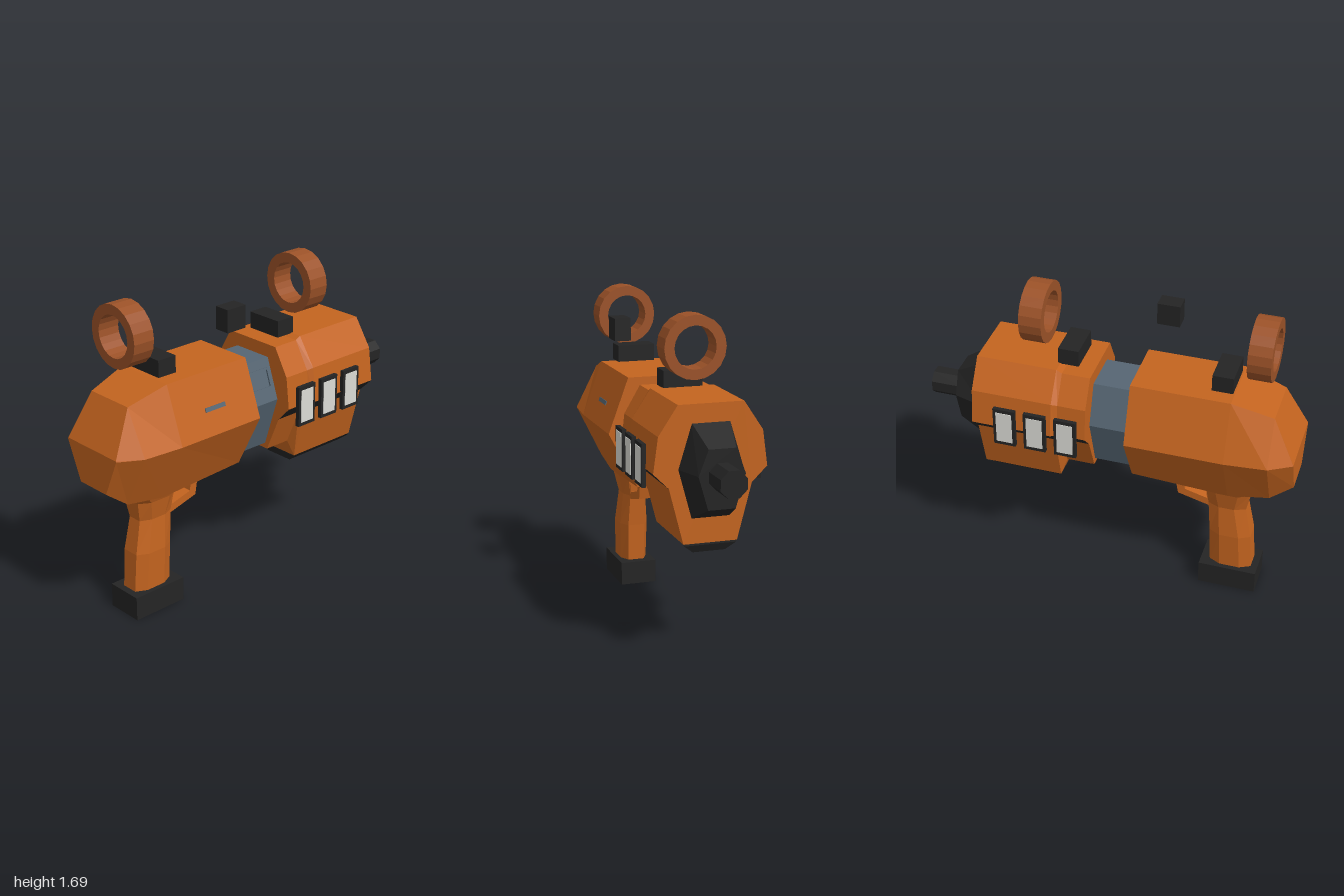
import * as THREE from 'three';

const material = (name, color) => Object.assign(new THREE.MeshStandardMaterial({ color }), { name });

// Mirrored half profiles (top to bottom) joined from high z to low z, with closed ends.
function loft(sections, pick = () => 0) {
  const rings = sections.map(([z, half]) => [
    ...half.map(([x, y]) => [-x, y, z]),
    ...[...half].reverse().map(([x, y]) => [x, y, z]),
  ]);
  const n = rings[0].length;
  const lists = [[], []];
  const tri = (k, ...pts) => lists[k].push(...pts.flat());
  for (let s = 0; s < rings.length - 1; s++) {
    const a = rings[s], b = rings[s + 1];
    for (let i = 0; i < n; i++) {
      const j = (i + 1) % n, k = pick(Math.min(i, n - 2 - i));
      tri(k, b[i], b[j], a[j]);
      tri(k, b[i], a[j], a[i]);
    }
  }
  const first = rings[0], last = rings[rings.length - 1];
  for (let i = 1; i < n - 1; i++) {
    tri(0, first[0], first[i], first[i + 1]);
    tri(0, last[0], last[i + 1], last[i]);
  }
  const geo = new THREE.BufferGeometry();
  geo.setAttribute('position', new THREE.Float32BufferAttribute(lists.flat(), 3));
  geo.addGroup(0, lists[0].length / 3, 0);
  if (lists[1].length) geo.addGroup(lists[0].length / 3, lists[1].length / 3, 1);
  geo.computeVertexNormals();
  return geo;
}

function flat(geo) {
  const g = geo.index ? geo.toNonIndexed() : geo;
  g.computeVertexNormals();
  return g;
}

export function createModel() {
  const orange = material('orange shell', 0xc4641f);
  const brown = material('brown ring', 0x9c5228);
  const black = material('black trim', 0x242424);
  const steel = material('blue grey steel', 0x566673);
  const white = material('pale panel', 0xdcdcd6);

  const model = new THREE.Group();
  model.name = 'toyBlaster';
  const add = (name, geo, mat, x = 0, y = 0, z = 0) => {
    const mesh = new THREE.Mesh(geo, mat);
    mesh.name = name;
    mesh.position.set(x, y, z);
    model.add(mesh);
    return mesh;
  };
  const box = (name, mat, size, pos) => add(name, new THREE.BoxGeometry(...size), mat, ...pos);

  // Faceted rear body
  add('rearBody', loft([
    [1.0, [[0.188, 0.99], [0.19, 0.985], [0.1, 0.78]]],
    [0.88, [[0.14, 1.22], [0.26, 0.985], [0.115, 0.69]]],
    [0.66, [[0.17, 1.285], [0.28, 0.985], [0.12, 0.655]]],
    [0.14, [[0.17, 1.285], [0.28, 0.985], [0.12, 0.68]]],
  ]), [orange]);
  box('sideSlot', steel, [0.012, 0.022, 0.13], [0.233, 1.11, 0.405]).rotation.z = 0.351;

  // Steel collar with a raised panel on its left side
  const collar = [[0.115, 1.215], [0.19, 1.0], [0.1, 0.72]];
  add('collar', loft([[0.16, collar], [-0.09, collar]]), [steel]);
  const panel = new THREE.Group();
  panel.name = 'collarPanel';
  panel.position.set(0.15, 1.117, 0.035);
  panel.rotation.z = 0.336;
  for (const s of [-1, 1]) {
    const rail = new THREE.Mesh(new THREE.BoxGeometry(0.016, 0.012, 0.17), steel);
    rail.position.y = s * 0.05;
    const post = new THREE.Mesh(new THREE.BoxGeometry(0.016, 0.112, 0.012), steel);
    post.position.z = s * 0.079;
    rail.name = 'panelRail';
    post.name = 'panelPost';
    panel.add(rail, post);
  }
  model.add(panel);

  // Barrel housing; the undercut strip along each side is black
  const slim = [[0.17, 1.285], [0.255, 1.14], [0.275, 0.967], [0.2, 0.888], [0.115, 0.69]];
  const wide = [[0.17, 1.3], [0.27, 1.15], [0.295, 0.967], [0.215, 0.888], [0.14, 0.6]];
  add('barrelHousing', loft([
    [-0.07, slim], [-0.22, slim], [-0.25, wide], [-0.68, wide],
  ], (edge) => (edge === 2 ? 1 : 0)), [orange, black]);
  add('housingKeel', loft([
    [-0.25, [[0.138, 0.602], [0.135, 0.595]]],
    [-0.27, [[0.138, 0.602], [0.085, 0.55]]],
    [-0.66, [[0.138, 0.602], [0.085, 0.55]]],
    [-0.68, [[0.138, 0.602], [0.135, 0.59]]],
  ]), [black]);

  // Framed side panels
  for (const s of [-1, 1]) {
    for (const z of [-0.165, -0.33, -0.495]) {
      box('panelFrame', black, [0.022, 0.22, 0.118], [s * 0.302, 0.98, z]);
      box('panelFace', white, [0.006, 0.18, 0.086], [s * 0.313, 0.98, z]);
    }
  }

  // Nozzle and muzzle
  add('nozzle', loft([
    [-0.67, [[0.1, 1.21], [0.17, 0.98], [0.1, 0.725]]],
    [-0.84, [[0.07, 1.11], [0.12, 0.98], [0.07, 0.81]]],
  ]), [black]);
  const muzzle = new THREE.CylinderGeometry(0.073, 0.073, 0.17, 8);
  muzzle.rotateY(Math.PI / 8).rotateX(Math.PI / 2);
  add('muzzle', flat(muzzle), black, 0, 0.973, -0.915);

  // Sight rings and mounting blocks
  const h = 0.06, ri = 0.11, ro = 0.163;
  const profile = [[ri, -h], [ro, -h], [ro, h], [ri, h], [ri, -h]].map((p) => new THREE.Vector2(...p));
  const ring = flat(new THREE.LatheGeometry(profile, 20).rotateX(Math.PI / 2));
  for (const z of [0.785, -0.39]) add('sightRing', ring, brown, 0, 1.531, z);
  for (const z of [0.6, -0.207]) box('sightMount', black, [0.208, 0.09, 0.11], [0, 1.342, z]);
  box('sightKnob', black, [0.086, 0.12, 0.12], [0.182, 1.533, 0.25]);

  // Grip: chamfered outlines stacked along y (height, half width, front z, back z)
  const grip = loft([
    [0.69, 0.115, 0.5, 0.82],
    [0.63, 0.09, 0.53, 0.77],
    [0.52, 0.066, 0.545, 0.75],
    [0.34, 0.08, 0.56, 0.785],
    [0.11, 0.075, 0.57, 0.8],
  ].map(([y, w, f, b]) => [y, [[w * 0.6, -f], [w, -f - 0.06], [w, -b + 0.06], [w * 0.6, -b]]]));
  add('grip', grip.rotateX(-Math.PI / 2), [orange]);
  box('gripBase', black, [0.204, 0.13, 0.315], [0, 0.065, 0.678]);

  // Trigger guard, drawn in the z-y plane
  const pts = (list) => list.map((p) => new THREE.Vector2(...p));
  const guardShape = new THREE.Shape(pts([
    [0.58, 0.49], [0.375, 0.545], [0.358, 0.64], [0.31, 0.662], [0.31, 0.7], [0.58, 0.7],
  ]));
  guardShape.holes.push(new THREE.Path(pts([
    [0.535, 0.545], [0.525, 0.65], [0.46, 0.688], [0.4, 0.665], [0.412, 0.578],
  ])));
  const guard = new THREE.ExtrudeGeometry(guardShape, { depth: 0.08, bevelEnabled: false });
  guard.translate(0, 0, -0.04).rotateY(-Math.PI / 2);
  add('triggerGuard', guard, orange);

  return model;
}
